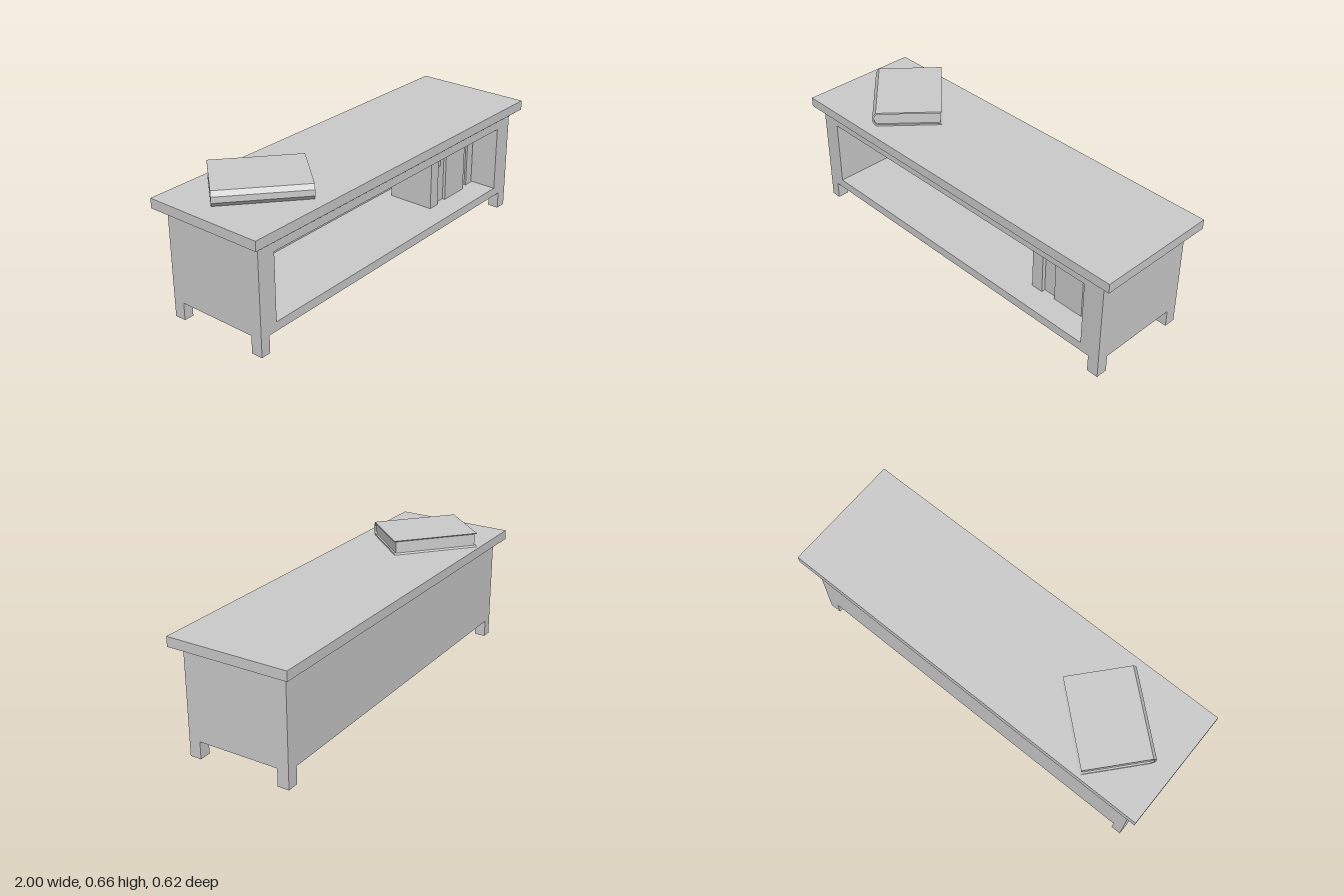
import * as THREE from 'three';

const material = new THREE.MeshStandardMaterial({ color: 0xcccccc, flatShading: true });

function addMesh(parent, name, geometry) {
  const mesh = new THREE.Mesh(geometry, material);
  mesh.name = name;
  parent.add(mesh);
  return mesh;
}

// Box given by its two extents on each axis
function addBox(parent, name, [x0, x1], [y0, y1], [z0, z1]) {
  const geometry = new THREE.BoxGeometry(x1 - x0, y1 - y0, z1 - z0);
  geometry.translate((x0 + x1) / 2, (y0 + y1) / 2, (z0 + z1) / 2);
  return addMesh(parent, name, geometry);
}

function polygon(points, Type = THREE.Shape) {
  return new Type(points.map(([x, y]) => new THREE.Vector2(x, y)));
}

const rectangle = (x0, x1, y0, y1) => [[x0, y0], [x1, y0], [x1, y1], [x0, y1]];

function createCabinet() {
  const cabinet = new THREE.Group();
  cabinet.name = 'cabinet';
  const x = [-0.953, 0.944], z = [-0.26, 0.27], y = [0.088, 0.512], recess = -0.15;

  // Carcass: a frame around the open shelf, closed by the back
  const frame = polygon(rectangle(...x, ...y));
  frame.holes.push(polygon(rectangle(-0.857, 0.837, 0.133, 0.47).reverse(), THREE.Path));
  const frameGeometry = new THREE.ExtrudeGeometry(frame, { depth: z[1] - recess, bevelEnabled: false });
  addMesh(cabinet, 'shelfFrame', frameGeometry.translate(0, 0, recess));
  addBox(cabinet, 'back', x, y, [z[0], recess]);

  // Legs
  for (const legX of [[x[0], -0.903], [0.885, x[1]]]) {
    for (const legZ of [[z[0], -0.202], [0.212, z[1]]]) {
      addBox(cabinet, 'leg', legX, [0, y[0]], legZ);
    }
  }

  // Top slab with a sloping moulding below it
  const slabX = [-1, 1], slabZ = [-0.308, 0.308];
  addBox(cabinet, 'top', slabX, [0.542, 0.59], slabZ);
  const moulding = addBox(cabinet, 'moulding', slabX, [y[1], 0.542], slabZ);
  const p = moulding.geometry.attributes.position;
  for (let i = 0; i < p.count; i++) {
    if (p.getY(i) < 0.53) {
      p.setX(i, p.getX(i) < 0 ? x[0] : x[1]);
      p.setZ(i, p.getZ(i) < 0 ? z[0] : z[1]);
    }
  }
  moulding.geometry.computeVertexNormals();
  return cabinet;
}

function createShelfBooks() {
  const books = new THREE.Group();
  books.name = 'shelfBooks';
  // left edge, right edge, top, front
  const sizes = [
    [0.425, 0.487, 0.404, 0.15],
    [0.487, 0.532, 0.329, 0.13],
    [0.532, 0.561, 0.385, 0.13],
    [0.561, 0.727, 0.409, 0.145],
    [0.727, 0.778, 0.385, 0.12],
    [0.778, 0.829, 0.422, 0.13],
  ];
  for (const [x0, x1, top, front] of sizes) {
    addBox(books, 'shelfBook', [x0, x1], [0.133, top], [-0.1, front]);
  }
  return books;
}

function createLyingBook() {
  const book = new THREE.Group();
  book.name = 'lyingBook';
  const length = 0.439, depth = 0.339, inset = 0.009;

  // Cover wraps round a chamfered spine, with tapered fore edges
  const cover = polygon([
    [0.017, 0], [depth, 0], [depth - 0.012, 0.008], [0.021, 0.008],
    [0.008, 0.024], [0.008, 0.049], [0.021, 0.065],
    [depth - 0.012, 0.065], [depth, 0.073], [0.017, 0.073], [0, 0.051], [0, 0.022],
  ]);
  addMesh(book, 'cover', new THREE.ExtrudeGeometry(cover, { depth: length, bevelEnabled: false }));

  // Page block, set in from the cover
  const pages = polygon([
    [0.02, 0.007], [depth - inset, 0.007], [depth - inset, 0.066], [0.02, 0.066], [0.007, 0.049], [0.007, 0.024],
  ]);
  const pageGeometry = new THREE.ExtrudeGeometry(pages, { depth: length - 2 * inset, bevelEnabled: false });
  addMesh(book, 'pages', pageGeometry.translate(0, 0, inset));

  book.position.set(-0.906, 0.59, -0.037);
  book.rotation.y = 0.85;
  return book;
}

export function createModel() {
  const model = new THREE.Group();
  model.name = 'bookBench';
  model.add(createCabinet(), createShelfBooks(), createLyingBook());
  return model;
}
